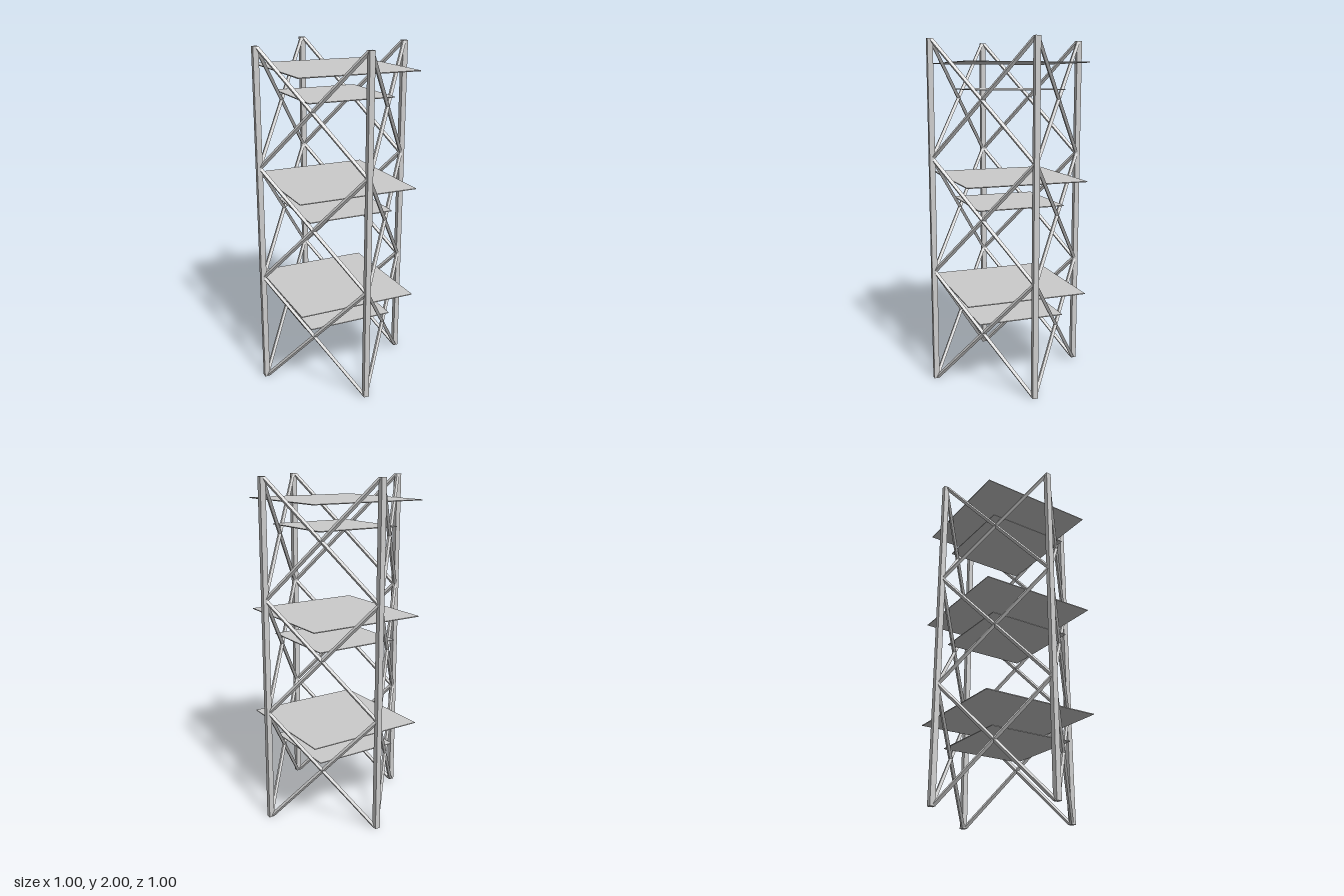
import * as THREE from 'three';

const HEIGHT = 2;
const TIERS = 3;
const TIER = HEIGHT / TIERS;
const HALF = 0.322;

export function createModel() {
  const group = new THREE.Group();
  const material = new THREE.MeshStandardMaterial({ color: 0xcccccc, flatShading: true });

  const add = (name, geometry, parent = group) => {
    const mesh = new THREE.Mesh(geometry, material);
    mesh.name = name;
    parent.add(mesh);
    return mesh;
  };

  // Four corner posts with a diamond section
  const postGeometry = new THREE.CylinderGeometry(0.022, 0.022, HEIGHT, 4);
  for (const x of [-HALF, HALF]) {
    for (const z of [-HALF, HALF]) {
      add('cornerPost', postGeometry).position.set(x, HEIGHT / 2, z);
    }
  }

  // Crossed braces: one X per tier on each of the four sides
  const dx = 0.62, dy = TIER - 0.016;
  const braceGeometry = new THREE.CylinderGeometry(0.0125, 0.0125, Math.hypot(dx, dy), 4);
  for (let side = 0; side < 4; side++) {
    const panel = new THREE.Group();
    panel.name = 'bracedSide';
    panel.rotation.y = side * Math.PI / 2;
    for (let i = 0; i < TIERS; i++) {
      for (const s of [-1, 1]) {
        const brace = add('crossBrace', braceGeometry, panel);
        brace.position.set(0, (i + 0.5) * TIER, HALF);
        brace.rotation.z = s * Math.atan2(dx, dy);
      }
    }
    group.add(panel);
  }

  // Thin square plates turned 45 degrees: a large one above a smaller one per tier
  const addPlate = (name, halfDiagonal, y) => {
    const edge = halfDiagonal * Math.SQRT2;
    const plate = add(name, new THREE.BoxGeometry(edge, 0.005, edge));
    plate.position.y = y;
    plate.rotation.y = Math.PI / 4;
  };
  for (let i = 0; i < TIERS; i++) {
    addPlate('lowerPlate', 0.363, 0.398 + i * 0.661);
    addPlate('upperPlate', 0.502, 0.547 + i * 0.661);
  }

  return group;
}
